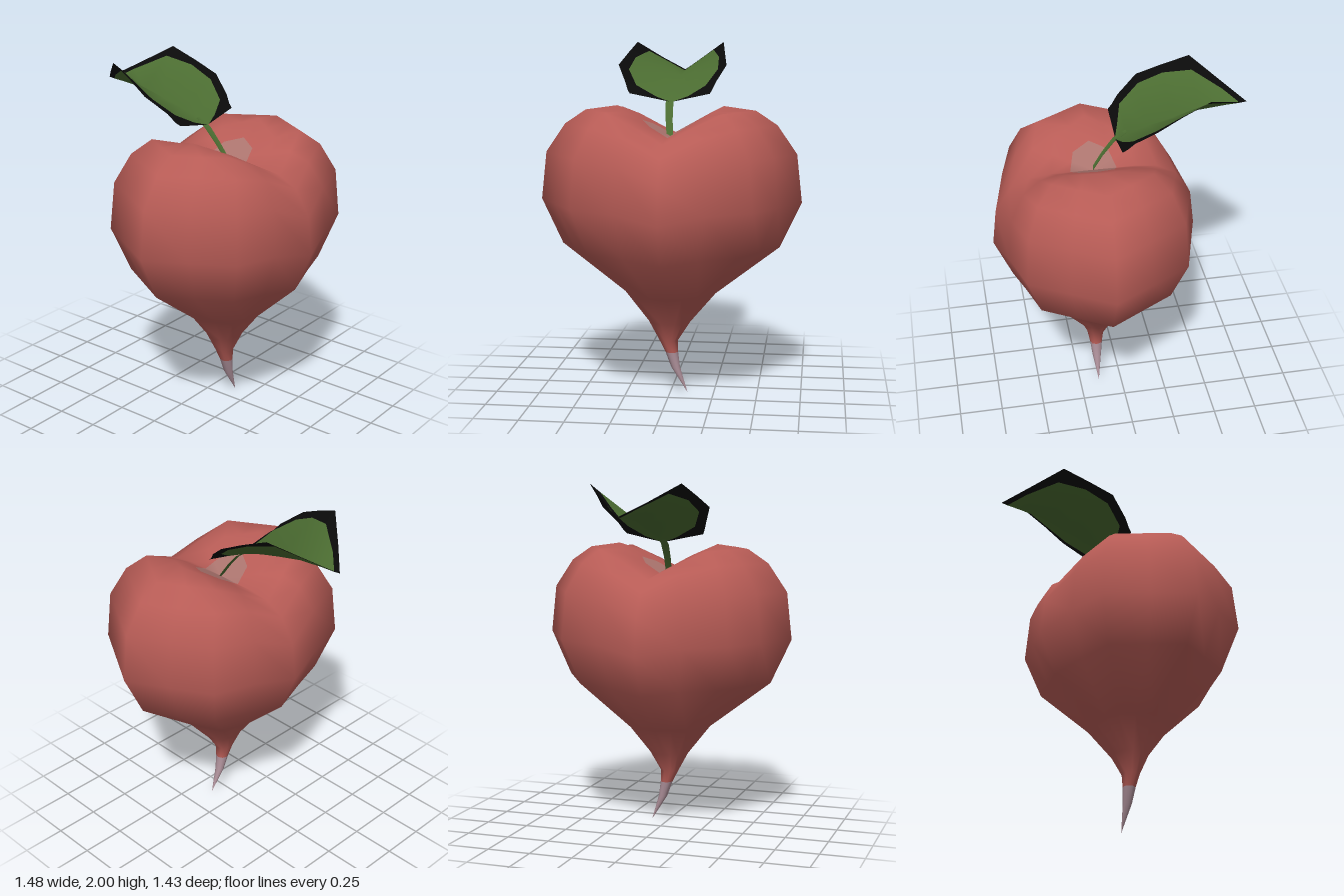
import * as THREE from 'three';

const paint = (name, color, side = THREE.FrontSide) => {
  const m = new THREE.MeshStandardMaterial({ color, side });
  m.name = name;
  return m;
};

// Joins a grid of points into a surface; materialOf(row, column) picks the colour of each cell.
function gridMesh(name, rows, closed, materials, materialOf) {
  const n = rows[0].length;
  const lists = materials.map(() => []);
  for (let r = 0; r < rows.length - 1; r++) {
    for (let c = 0; c < (closed ? n : n - 1); c++) {
      const d = (c + 1) % n;
      const [a, b, e, f] = [r * n + c, r * n + d, (r + 1) * n + c, (r + 1) * n + d];
      const list = lists[materialOf(r, c)];
      if (closed) list.push(a, b, e, b, f, e);
      else list.push(a, e, b, b, e, f);
    }
  }
  const geo = new THREE.BufferGeometry();
  geo.setAttribute('position', new THREE.Float32BufferAttribute(rows.flat(2), 3));
  geo.setIndex(lists.flat());
  let start = 0;
  lists.forEach((l, i) => {
    geo.addGroup(start, l.length, i);
    start += l.length;
  });
  geo.computeVertexNormals();
  const mesh = new THREE.Mesh(geo, materials);
  mesh.name = name;
  return mesh;
}

// Heart-shaped root: rings from the crown down to the bent tip
function makeRoot(skin, crown, tip) {
  // half width, half depth, height, cleft depth, sideways shift
  const rings = [
    [0, 0, 1.655, 0.17, 0],
    [0.16, 0.13, 1.655, 0.17, 0],
    [0.30, 0.24, 1.655, 0.17, 0],
    [0.48, 0.36, 1.63, 0.16, 0],
    [0.60, 0.47, 1.55, 0.14, 0],
    [0.71, 0.555, 1.39, 0.12, 0],
    [0.74, 0.58, 1.12, 0.06, 0],
    [0.62, 0.48, 0.865, 0.04, 0],
    [0.26, 0.23, 0.59, 0, 0],
    [0.12, 0.10, 0.42, 0, -0.005],
    [0.055, 0.05, 0.31, 0, -0.01],
    [0.037, 0.037, 0.24, 0, 0.008],
    [0.026, 0.026, 0.15, 0, 0.03],
    [0, 0, 0, 0, 0.1],
  ];
  // One quarter of the eight-sided outline, mirrored all round
  const quarter = [[1, 0], [0.83, 0.38], [0.66, 0.76], [0.33, 0.88], [0, 1]];
  const outline = [];
  for (let i = 0; i < 16; i++) {
    const q = i % 8;
    const [x, z] = quarter[q <= 4 ? q : 8 - q];
    outline.push([x * (i > 4 && i < 12 ? -1 : 1), z * (i > 8 ? -1 : 1)]);
  }
  const rows = rings.map(([w, d, y, cleft, shift]) => outline.map(([ox, oz]) => {
    const x = ox * w;
    return [x + shift, y - cleft * Math.max(0, 1 - Math.abs(x) / 0.3), 0.135 + oz * d];
  }));
  return gridMesh('root', rows, true, [skin, crown, tip],
    (r) => (r === 0 ? 1 : r >= 11 ? 2 : 0));
}

// Folded leaf: green blade inside a dark border
function makeLeaf(green, border) {
  // z, rib height, edge height, outer left/right x, green left/right x
  const sections = [
    [-0.72, 1.825, 1.825, -0.01, -0.01, -0.01, -0.01],
    [-0.68, 1.82, 1.85, -0.05, 0.03, -0.012, -0.008],
    [-0.60, 1.815, 1.90, -0.13, 0.105, -0.09, 0.07],
    [-0.45, 1.80, 1.998, -0.27, 0.25, -0.20, 0.19],
    [-0.30, 1.765, 1.935, -0.305, 0.27, -0.26, 0.235],
    [-0.165, 1.73, 1.87, -0.34, 0.29, -0.28, 0.24],
    [-0.05, 1.69, 1.78, -0.285, 0.24, -0.22, 0.18],
    [-0.015, 1.675, 1.735, -0.265, 0.22, -0.10, 0.085],
    [0.01, 1.667, 1.715, -0.25, 0.21, -0.02, 0],
  ];
  const rib = -0.01;
  const rows = sections.map(([z, ribY, edgeY, outL, outR, inL, inR]) =>
    [outL, inL, rib, inR, outR].map((x) => {
      const reach = (x < rib ? outL : outR) - rib;
      const t = reach === 0 ? 0 : (x - rib) / reach;
      return [x, ribY + (edgeY - ribY) * t, z];
    }));
  return gridMesh('leaf', rows, false, [green, border],
    (r, c) => (c === 0 || c === 3 ? 1 : 0));
}

// Flat, slightly creased stalk
function makeStem(green) {
  const path = [
    [0, 1.465, 0.15, 0.018], [-0.013, 1.57, 0.08, 0.02],
    [-0.02, 1.65, 0.015, 0.023], [-0.02, 1.698, -0.055, 0.018],
  ];
  const rows = path.map(([x, y, z, w]) =>
    [[x - w, y + 0.004, z + 0.004], [x, y, z], [x + w, y + 0.004, z + 0.004]]).reverse();
  return gridMesh('stem', rows, false, [green], () => 0);
}

export function createModel() {
  const skin = paint('red skin', 0xb85c56);
  const crown = paint('pale crown', 0xab746e);
  const tip = paint('pale root tip', 0xb0929c);
  const green = paint('leaf green', 0x4b6c31, THREE.DoubleSide);
  const border = paint('dark border', 0x0a0a0a, THREE.DoubleSide);
  const model = new THREE.Group();
  model.name = 'heartRadish';
  model.add(makeRoot(skin, crown, tip), makeLeaf(green, border), makeStem(green));
  return model;
}
